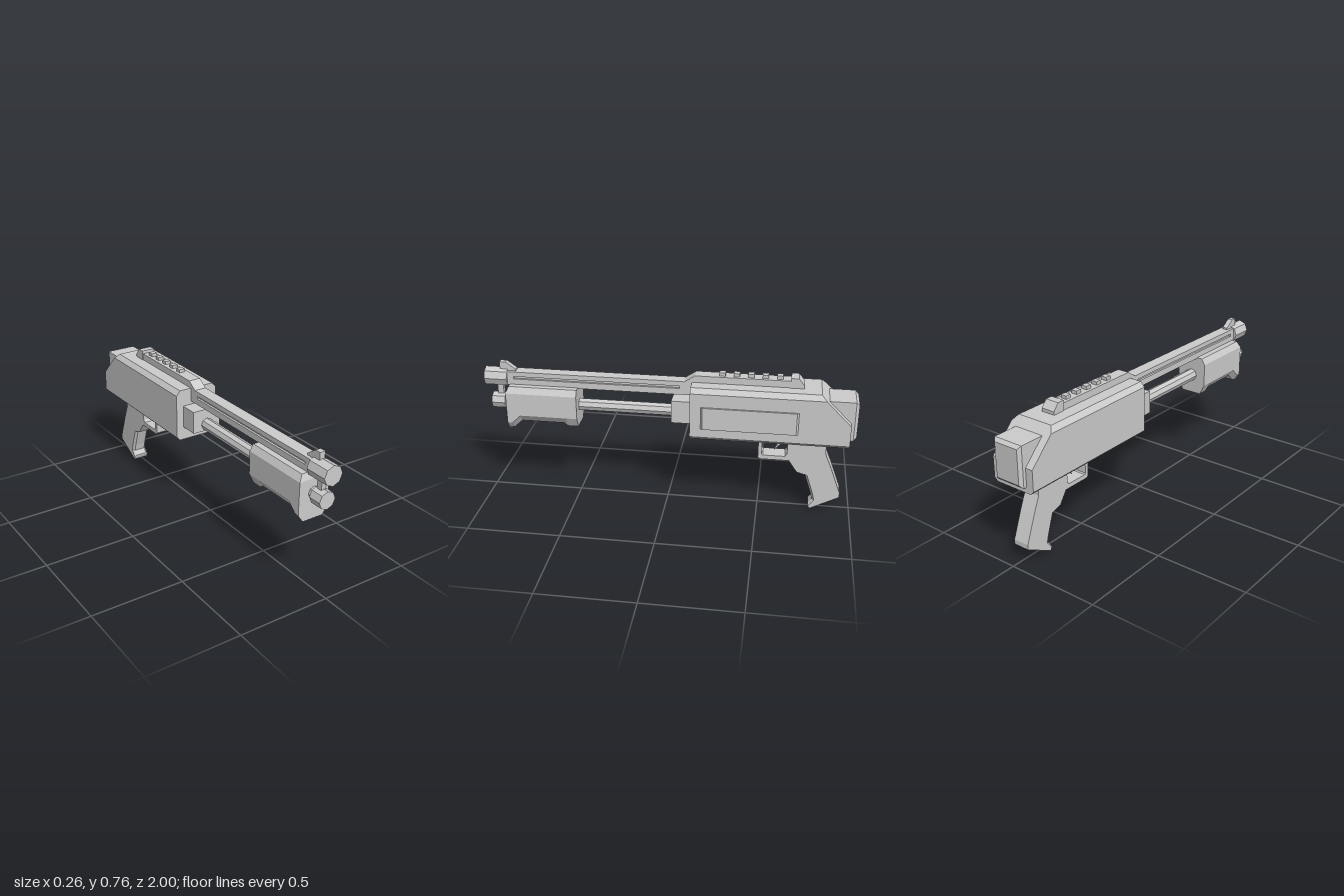
import * as THREE from 'three';

const material = new THREE.MeshStandardMaterial({ color: 0xcccccc, flatShading: true });

function add(parent, name, geometry, x = 0, y = 0, z = 0) {
  const mesh = new THREE.Mesh(geometry, material);
  mesh.name = name;
  mesh.position.set(x, y, z);
  parent.add(mesh);
}

// Box given by its width and its extents in y and z
function box(parent, name, w, y0, y1, z0, z1) {
  add(parent, name, new THREE.BoxGeometry(w, y1 - y0, z1 - z0), 0, (y0 + y1) / 2, (z0 + z1) / 2);
}

// Octagonal rod along z
function rod(parent, name, r, y, z0, z1) {
  const g = new THREE.CylinderGeometry(r, r, z1 - z0, 8).rotateX(Math.PI / 2);
  add(parent, name, g, 0, y, (z0 + z1) / 2);
}

// Side outline of [z, y] points (counter-clockwise), extruded to the given width across x
function profile(parent, name, width, points, hole) {
  const toVectors = (list) => list.map(([z, y]) => new THREE.Vector2(z, y));
  const shape = new THREE.Shape(toVectors(points));
  if (hole) shape.holes.push(new THREE.Path(toVectors(hole)));
  const g = new THREE.ExtrudeGeometry(shape, { depth: width, bevelEnabled: false });
  g.translate(0, 0, -width / 2).rotateY(-Math.PI / 2);
  add(parent, name, g);
}

// Skin over rings of [x, y, z] points, closed at both ends;
// rings run counter-clockwise as seen from the first end
function loft(parent, name, rings) {
  const n = rings[0].length;
  const last = (rings.length - 1) * n;
  const index = [];
  for (let i = 0; i < rings.length - 1; i++) {
    for (let j = 0; j < n; j++) {
      const a = i * n + j, b = i * n + ((j + 1) % n);
      index.push(a, a + n, b + n, a, b + n, b);
    }
  }
  for (let j = 1; j < n - 1; j++) {
    index.push(0, j, j + 1, last, last + j + 1, last + j);
  }
  const g = new THREE.BufferGeometry();
  g.setAttribute('position', new THREE.Float32BufferAttribute(rings.flat(2), 3));
  g.setIndex(index);
  const flat = g.toNonIndexed();
  flat.computeVertexNormals();
  add(parent, name, flat);
}

// Chamfered rectangle across z: half width w, chamfers [across, up] at top and bottom
function section(w, y0, y1, z, [tx, ty], [bx, by]) {
  return [
    [w - bx, y0, z], [w, y0 + by, z], [w, y1 - ty, z], [w - tx, y1, z],
    [tx - w, y1, z], [-w, y1 - ty, z], [-w, y0 + by, z], [bx - w, y0, z],
  ];
}

export function createModel() {
  const model = new THREE.Group();
  model.name = 'shotgun';
  const gun = new THREE.Group();
  gun.name = 'assembly';
  gun.position.x = -0.0055;
  model.add(gun);

  // Receiver: a chamfered block whose rear top is cut by one 45 degree plane
  const top = [0.022, 0.027], bottom = [0.018, 0.018];
  const slopeStart = section(0.1255, 0.417, 0.708, -0.805, top, bottom)
    .map(([x, y, z]) => [x, y, y > 0.5 ? z - (0.708 - y) : z]);
  loft(gun, 'receiver', [
    section(0.1255, 0.417, 0.708, -0.13, top, bottom),
    slopeStart,
    section(0.1255, 0.417, 0.548, -0.965, [0.022, 0], bottom),
  ]);
  box(gun, 'receiverCollar', 0.168, 0.49, 0.615, -0.14, -0.027);

  // Raised panel on the left side only, bevelled at its ends
  loft(gun, 'sidePanel', [[0.1355, 0.01], [0.125, 0]].map(([x, d]) => [
    [x, 0.485, -0.187 - d], [x, 0.485, -0.697 + d],
    [x, 0.608, -0.697 + d], [x, 0.608, -0.187 - d],
  ]));

  // Butt block with chamfered back
  const none = [0, 0];
  loft(gun, 'buttBlock', [
    section(0.084, 0.448, 0.666, -0.8, none, none),
    section(0.084, 0.448, 0.666, -0.983, none, none),
    section(0.07, 0.466, 0.65, -1, none, none),
  ]);

  // Top bar running over the receiver, slotted along the barrel
  profile(gun, 'topBar', 0.068,
    [[0.88, 0.633], [0.88, 0.708], [-0.09, 0.708], [-0.145, 0.745], [-0.68, 0.745], [-0.7, 0.633]],
    [[0.84, 0.668], [-0.065, 0.668], [-0.065, 0.682], [0.84, 0.682]]);
  box(gun, 'barSlotCore', 0.044, 0.66, 0.69, -0.08, 0.85);
  for (let i = 0; i < 5; i++) {
    const z = -0.288 - i * 0.075;
    box(gun, 'railTooth', 0.034, 0.74, 0.763, z - 0.016, z + 0.016);
  }

  // Sights
  profile(gun, 'rearSight', 0.077,
    [[-0.645, 0.7], [-0.645, 0.762], [-0.685, 0.762], [-0.715, 0.725], [-0.715, 0.7]]);
  profile(gun, 'frontSight', 0.03,
    [[0.918, 0.69], [0.918, 0.756], [0.885, 0.756], [0.83, 0.718], [0.83, 0.7]]);

  // Barrel, magazine tube and the link joining them
  rod(gun, 'muzzle', 0.053, 0.669, 0.875, 1);
  rod(gun, 'magazineTube', 0.034, 0.528, -0.1, 0.92);
  rod(gun, 'magazineCap', 0.047, 0.528, 0.897, 0.97);
  box(gun, 'barrelLink', 0.026, 0.56, 0.64, 0.908, 0.94);

  // Pump grip: underside follows [z, y] with a lip in front and a step behind
  const underside = [[0.862, 0.39], [0.845, 0.394], [0.8, 0.436], [0.565, 0.436], [0.545, 0.42], [0.486, 0.42]];
  loft(gun, 'pumpGrip', [
    section(0.0875, 0.388, 0.603, 0.875, none, [0.028, 0.04]),
    ...underside.map(([z, y], i) =>
      section(0.0875, y, 0.637, z, [0.02, 0.034], [0.028, i > 3 ? 0.056 : 0.04])),
  ]);

  // Trigger guard and trigger
  profile(gun, 'triggerGuard', 0.089,
    [[-0.7, 0.43], [-0.68, 0.288], [-0.503, 0.288], [-0.493, 0.299], [-0.493, 0.43]],
    [[-0.513, 0.395], [-0.513, 0.318], [-0.519, 0.312], [-0.637, 0.312], [-0.648, 0.326], [-0.648, 0.38], [-0.638, 0.395]]);
  profile(gun, 'trigger', 0.024,
    [[-0.622, 0.4], [-0.622, 0.38], [-0.577, 0.33], [-0.597, 0.375], [-0.595, 0.4]]);

  // Pistol grip: front z, y, back z, y and front chamfer for each ring, going down
  const rings = [
    [-0.66, 0.43, -0.87, 0.43, 0],
    [-0.66, 0.385, -0.852, 0.385, 0],
    [-0.66, 0.288, -0.852, 0.34, 0],
    [-0.705, 0.222, -0.888, 0.255, 0],
    [-0.75, 0.205, -0.903, 0.215, 0.013],
    [-0.787, 0.095, -0.935, 0.13, 0.013],
    [-0.797, 0.055, -0.943, 0.11, 0.013],
    [-0.778, 0.028, -0.943, 0.1, 0.011],
    [-0.779, 0.019, -0.943, 0.095, 0],
    [-0.787, 0, -0.943, 0.083, 0],
  ];
  const w = 0.0445;
  loft(gun, 'pistolGrip', rings.map(([fz, fy, bz, by, c]) => [
    [w, by, bz], [-w, by, bz], [-w, fy, fz - c], [c - w, fy, fz], [w - c, fy, fz], [w, fy, fz - c],
  ]));

  return model;
}
